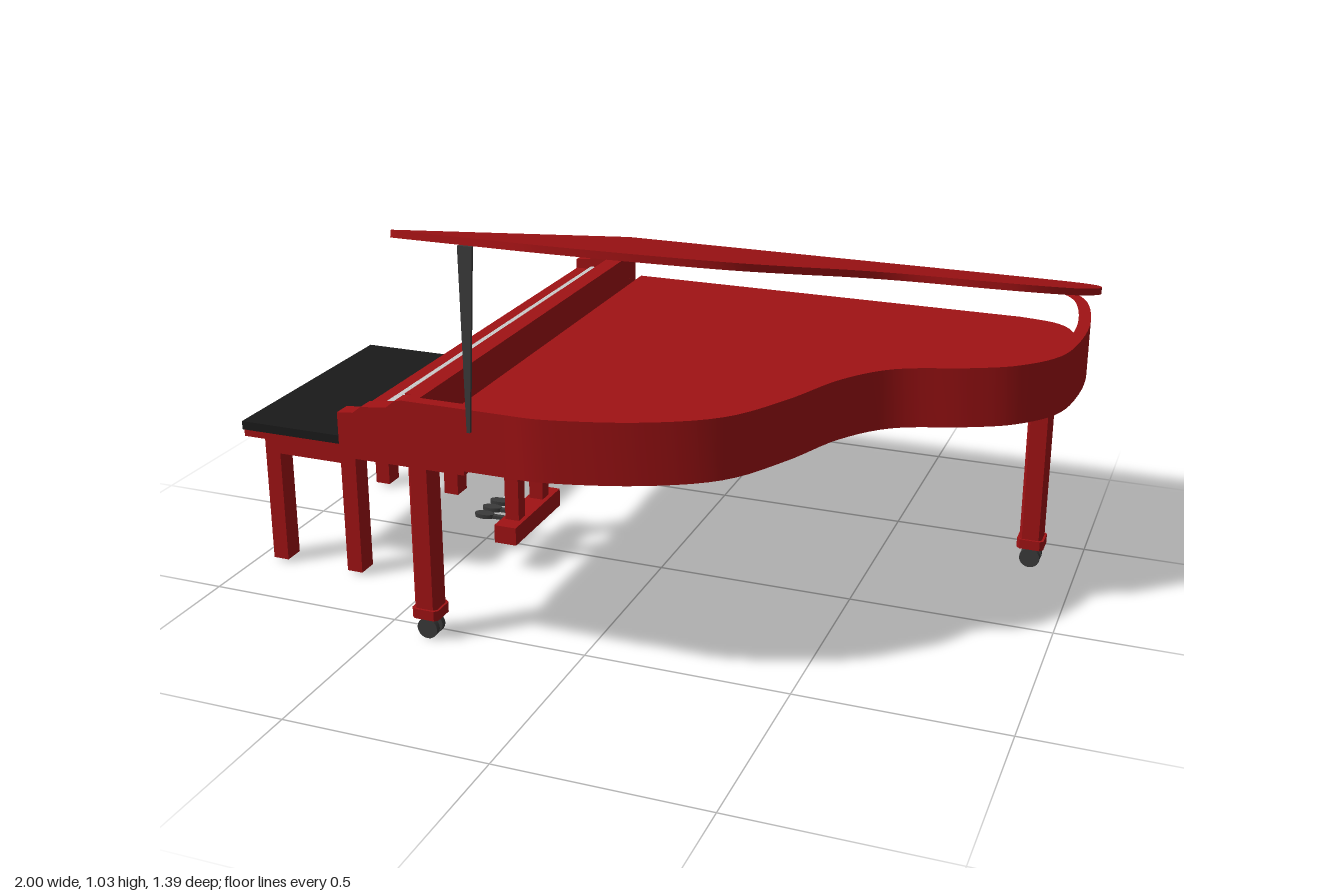
import * as THREE from 'three';
import { toCreasedNormals } from 'three/addons/utils/BufferGeometryUtils.js';

const mat = (color) => new THREE.MeshStandardMaterial({ color });
const red = mat(0xa01214), black = mat(0x1a1a1a), metal = mat(0x3a3a3a), ivory = mat(0xcccccc);

function add(parent, name, geometry, material) {
  const m = new THREE.Mesh(geometry, material);
  m.name = name;
  parent.add(m);
  return m;
}

// Box given by its limits on each axis
function box(parent, name, material, x0, x1, y0, y1, z0, z1) {
  const m = add(parent, name, new THREE.BoxGeometry(x1 - x0, y1 - y0, z1 - z0), material);
  m.position.set((x0 + x1) / 2, (y0 + y1) / 2, (z0 + z1) / 2);
  return m;
}

function group(parent, name, x = 0, y = 0, z = 0) {
  const g = new THREE.Group();
  g.name = name;
  g.position.set(x, y, z);
  parent.add(g);
  return g;
}

// Wing-shaped plan: straight bass side, round tail, S-curved treble side (shape y = -z)
function wingPoints(left, corner) {
  const bend = [[0.89, -0.665], [0.955, -0.59], [0.99, -0.43], [0.992, -0.27], [0.965, -0.13],
    [0.885, -0.03], [0.78, 0.03], [0.62, 0.096], [0.52, 0.21], [0.446, 0.374], [0.35, 0.525],
    [0.19, 0.62], [0, 0.675], [-0.1, 0.68]].map(([x, z]) => new THREE.Vector2(x, -z));
  const s = new THREE.Shape();
  s.moveTo(left + corner, 0.69);
  s.lineTo(0.78, 0.69);
  s.splineThru(bend);
  s.lineTo(left + corner, -0.68);
  if (corner > 0) {
    s.quadraticCurveTo(left, -0.68, left, -0.68 + corner);
    s.lineTo(left, 0.69 - corner);
    s.quadraticCurveTo(left, 0.69, left + corner, 0.69);
  } else s.lineTo(left, 0.69);
  const pts = s.getPoints(5);
  if (pts[0].distanceTo(pts[pts.length - 1]) < 1e-6) pts.pop();
  return pts;
}

// Moves a clockwise outline inwards by d
function inset(pts, d) {
  const n = pts.length;
  return pts.map((p, i) => {
    const a = p.clone().sub(pts[(i + n - 1) % n]).normalize();
    const b = pts[(i + 1) % n].clone().sub(p).normalize();
    const na = new THREE.Vector2(a.y, -a.x), nb = new THREE.Vector2(b.y, -b.x);
    return p.clone().addScaledVector(na.clone().add(nb), d / (1 + na.dot(nb)));
  });
}

// Upright extrusion of a plan outline
function slab(pts, depth, hole) {
  const s = new THREE.Shape(pts);
  if (hole) s.holes.push(new THREE.Path(hole));
  const g = new THREE.ExtrudeGeometry(s, { depth, bevelEnabled: false });
  g.rotateX(-Math.PI / 2);
  return toCreasedNormals(g, 0.5);
}

// Square post with slightly chamfered corners
function post(parent, name, w, y0, y1) {
  const h = w / 2, c = h * 0.75;
  const pts = [[h, c], [c, h], [-c, h], [-h, c], [-h, -c], [-c, -h], [c, -h], [h, -c]];
  const m = add(parent, name, slab(pts.map(([x, y]) => new THREE.Vector2(x, y)), y1 - y0), red);
  m.position.y = y0;
}

function pianoLeg(parent, name, x, z, top) {
  const g = group(parent, name, x, 0, z);
  post(g, 'legShaft', 0.057, 0.08, top);
  post(g, 'legCollar', 0.068, 0.055, 0.08);
  // Twin-wheel caster
  box(g, 'casterFork', metal, -0.01, 0.01, 0.025, 0.056, -0.006, 0.006);
  for (const dz of [-0.014, 0.014]) {
    const wheel = add(g, 'casterWheel', new THREE.CylinderGeometry(0.026, 0.026, 0.014, 20), metal);
    wheel.rotation.x = Math.PI / 2;
    wheel.position.set(0, 0.026, dz);
  }
  return g;
}

function buildCase(root) {
  const g = group(root, 'case');
  const outer = wingPoints(-0.345, 0).map((p) => new THREE.Vector2(p.x > 0 ? p.x * 0.985 : p.x, p.y * 1.006));
  const inner = inset(outer, 0.03);
  add(g, 'rim', slab(outer, 0.145, inner), red).position.y = 0.505;
  add(g, 'soundboard', slab(inset(outer, 0.028), 0.06), red).position.y = 0.506;
  // Plates under the keyboard end
  box(g, 'upperBasePlate', red, -0.505, -0.2, 0.493, 0.506, -0.68, 0.68);
  box(g, 'lowerBasePlate', red, -0.47, -0.24, 0.483, 0.494, -0.645, 0.645);
  // Hinges on the bass side
  for (const x of [-0.2, 0.3, 0.75]) box(g, 'hinge', metal, x - 0.03, x + 0.03, 0.645, 0.66, -0.697, -0.685);
}

function buildKeyboard(root) {
  const g = group(root, 'keyboard');
  box(g, 'keyBed', red, -0.508, -0.345, 0.505, 0.562, -0.66, 0.65);
  box(g, 'keySlip', red, -0.508, -0.467, 0.56, 0.575, -0.65, 0.64);
  box(g, 'fallboard', red, -0.36, -0.344, 0.56, 0.65, -0.65, 0.64);
  // Stepped cheek blocks at both ends
  const cheek = new THREE.Shape([[-0.51, 0.505], [-0.344, 0.505], [-0.344, 0.65], [-0.365, 0.645],
    [-0.385, 0.628], [-0.45, 0.62], [-0.47, 0.604], [-0.51, 0.6]].map(([x, y]) => new THREE.Vector2(x, y)));
  for (const z of [-0.69, 0.64]) {
    const geo = new THREE.ExtrudeGeometry(cheek, { depth: 0.042, bevelEnabled: false });
    add(g, 'cheekBlock', geo, red).position.z = z;
  }
  // 52 white keys and the black keys between them, bass at -z
  const w = 1.288 / 52, hasSharp = [1, 0, 1, 1, 0, 1, 1];
  for (let i = 0; i < 52; i++) {
    const z = -0.649 + i * w;
    box(g, 'whiteKey', ivory, -0.465, -0.36, 0.56, 0.583, z + 0.0005, z + w - 0.0005);
    if (hasSharp[i % 7] && i < 51) box(g, 'blackKey', black, -0.42, -0.36, 0.575, 0.597, z + w - 0.006, z + w + 0.006);
  }
}

function buildLid(root) {
  const angle = Math.atan2(0.362, 1.37);
  const hinge = group(root, 'raisedLid', 0, 0.653, -0.69);
  hinge.rotation.x = -angle;
  const pts = wingPoints(-0.36, 0.025).map((p) => new THREE.Vector2(p.x * 1.005, (p.y - 0.69) / Math.cos(angle)));
  add(hinge, 'lid', slab(pts, 0.016), red);
  // Flat tapered prop stick
  const stick = new THREE.Shape([[-0.184, 0.6], [-0.176, 0.6], [-0.163, 1.012], [-0.197, 1.012]]
    .map(([x, y]) => new THREE.Vector2(x, y)));
  const geo = new THREE.ExtrudeGeometry(stick, { depth: 0.007, bevelEnabled: false });
  const pos = geo.attributes.position;
  for (let i = 0; i < pos.count; i++) pos.setZ(i, pos.getZ(i) + 0.683 - (pos.getY(i) - 0.65) * 0.035);
  geo.computeVertexNormals();
  add(root, 'lidProp', geo, metal);
}

function buildPedals(root) {
  const g = group(root, 'pedalLyre', 0, 0, 0.022);
  box(g, 'pedalBox', red, -0.395, -0.335, 0.075, 0.123, -0.137, 0.137);
  for (const z of [-0.073, 0.073]) box(g, 'lyrePost', red, -0.385, -0.347, 0.12, 0.49, z - 0.019, z + 0.019);
  // Three pedals with rounded tips
  for (const z of [-0.045, 0, 0.045]) {
    box(g, 'pedalArm', metal, -0.47, -0.39, 0.097, 0.106, z - 0.006, z + 0.006);
    const tip = add(g, 'pedalTip', new THREE.CylinderGeometry(0.015, 0.015, 0.011, 16), metal);
    tip.scale.x = 1.8;
    tip.position.set(-0.468, 0.102, z);
  }
}

function buildBench(root) {
  const g = group(root, 'bench', -0.828, 0, 0.021);
  box(g, 'benchCushion', black, -0.172, 0.172, 0.368, 0.39, -0.323, 0.323);
  box(g, 'benchTop', red, -0.168, 0.168, 0.35, 0.369, -0.321, 0.321);
  box(g, 'benchApron', red, -0.128, 0.132, 0.303, 0.351, -0.293, 0.293);
  for (const x of [-0.107, 0.111]) for (const z of [-0.266, 0.266]) {
    box(g, 'benchLeg', red, x - 0.021, x + 0.021, 0.007, 0.304, z - 0.027, z + 0.027);
  }
}

export function createModel() {
  const root = new THREE.Group();
  root.name = 'grandPiano';
  buildCase(root);
  buildKeyboard(root);
  buildLid(root);
  buildPedals(root);
  buildBench(root);
  // Front legs with stepped capitals
  for (const z of [-0.52, 0.535]) {
    const leg = pianoLeg(root, 'frontLeg', -0.38, z, 0.485);
    box(leg, 'legCapital', red, -0.105, 0.105, 0.46, 0.472, -0.049, 0.049);
    box(leg, 'legCapitalStep', red, -0.07, 0.07, 0.449, 0.461, -0.038, 0.038);
  }
  // Tail leg with its mounting plate
  const tail = pianoLeg(root, 'tailLeg', 0.882, -0.361, 0.495);
  box(tail, 'legMountPlate', red, -0.052, 0.052, 0.484, 0.506, -0.081, 0.081);
  return root;
}
